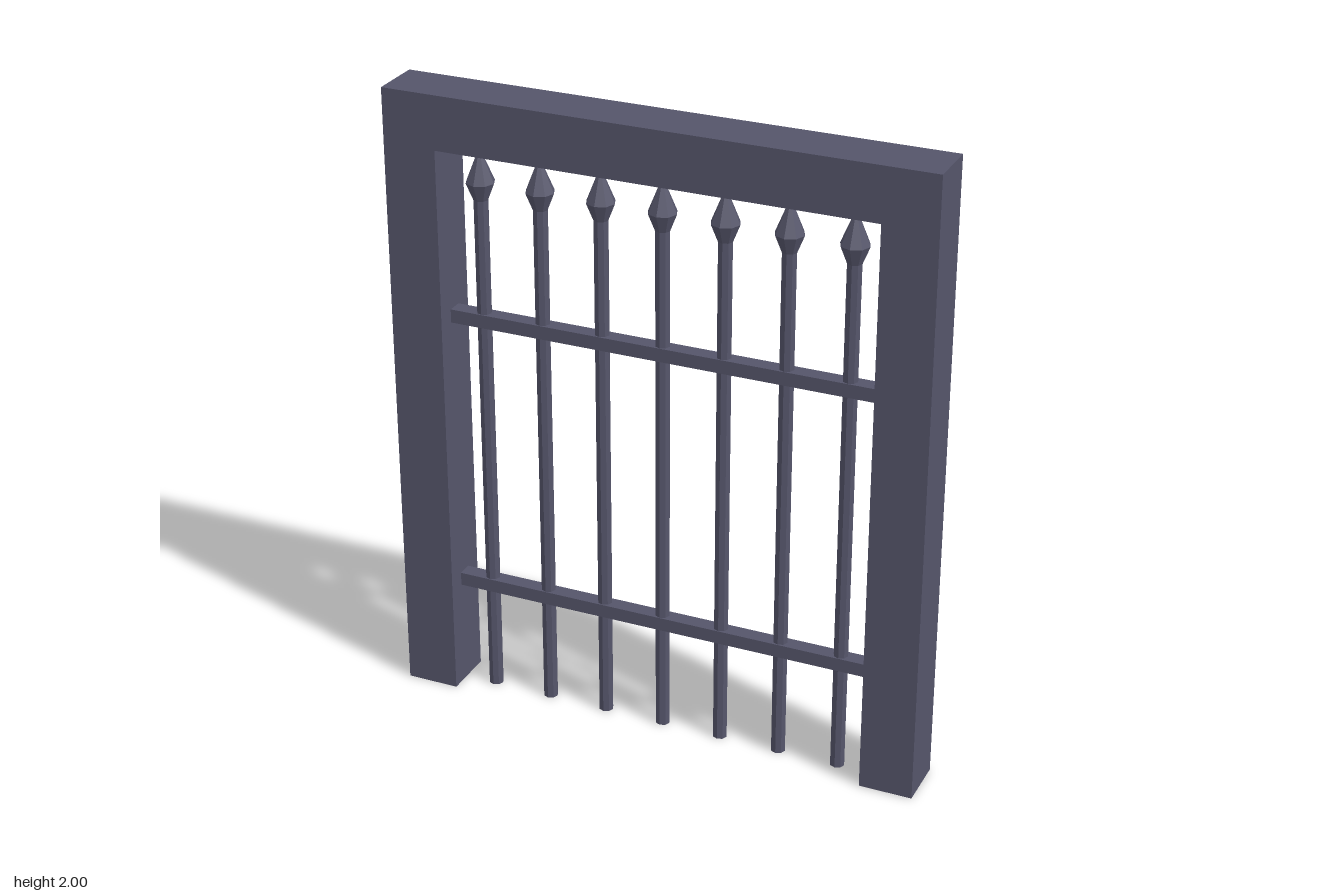
import * as THREE from 'three';

export function createModel() {
  const group = new THREE.Group();
  const iron = new THREE.MeshStandardMaterial({ color: 0x55556a });
  iron.name = 'dark iron';
  iron.flatShading = true;

  const add = (name, geometry, x = 0, y = 0, z = 0, parent = group) => {
    const mesh = new THREE.Mesh(geometry, iron);
    mesh.name = name;
    mesh.position.set(x, y, z);
    parent.add(mesh);
    return mesh;
  };

  // Square doorway frame, open at the bottom
  const outer = 0.855, inner = 0.687, depth = 0.17;
  const outline = new THREE.Shape([
    [-outer, 0], [-inner, 0], [-inner, 1.83], [inner, 1.83],
    [inner, 0], [outer, 0], [outer, 2], [-outer, 2],
  ].map(([x, y]) => new THREE.Vector2(x, y)));
  add('frame', new THREE.ExtrudeGeometry(outline, { depth, bevelEnabled: false }), 0, 0, -depth / 2);

  // Horizontal rails between the posts
  const rail = new THREE.BoxGeometry(inner * 2, 0.043, 0.05);
  add('lowerRail', rail, 0, 0.368);
  add('upperRail', rail, 0, 1.28);

  // Seven upright bars with pointed heads
  const shaft = new THREE.CylinderGeometry(0.023, 0.023, 1.68, 8);
  const head = new THREE.LatheGeometry([
    [0.021, 1.66], [0.045, 1.72], [0, 1.829],
  ].map(([r, y]) => new THREE.Vector2(r, y)), 8);
  for (let i = -3; i <= 3; i++) {
    const bar = new THREE.Group();
    bar.name = 'bar' + (i + 4);
    bar.position.x = i * 0.195;
    add('shaft', shaft, 0, 0.84, 0, bar);
    add('spearHead', head, 0, 0, 0, bar);
    group.add(bar);
  }
  return group;
}
